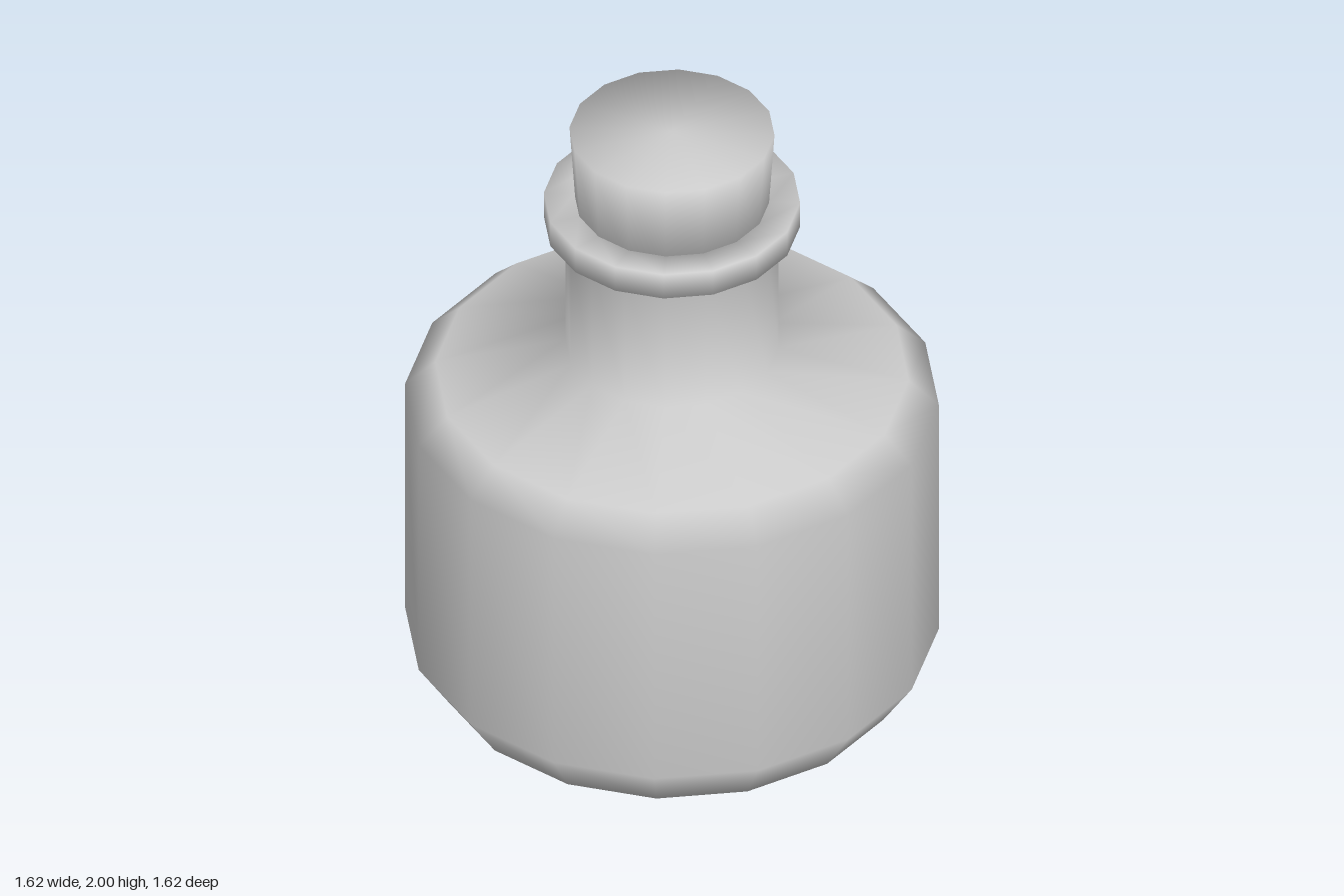
import * as THREE from 'three';

const SIDES = 16;

// Smooth-shaded turned part from [radius, height] pairs, listed bottom to top
function turned(name, profile, material) {
  const points = profile.map(([r, y]) => new THREE.Vector2(r, y));
  const mesh = new THREE.Mesh(new THREE.LatheGeometry(points, SIDES), material);
  mesh.name = name;
  return mesh;
}

export function createModel() {
  const group = new THREE.Group();
  group.name = 'corkedBottle';
  const material = new THREE.MeshStandardMaterial({ color: 0xcccccc, side: THREE.DoubleSide });

  // Bottle: chamfered base, straight wall, sloping shoulder, neck, flared lip and mouth
  group.add(turned('bottle', [
    [0, 0], [0.715, 0],
    [0.812, 0.148], [0.812, 1.0],
    [0.72, 1.088], [0.324, 1.192],
    [0.324, 1.657], [0.39, 1.657],
    [0.39, 1.747], [0.297, 1.747],
    [0.29, 1.66],
  ], material));

  // Tapered stopper, seated inside the mouth
  group.add(turned('cork', [
    [0, 1.66], [0.29, 1.66], [0.312, 2], [0, 2],
  ], material));

  return group;
}
